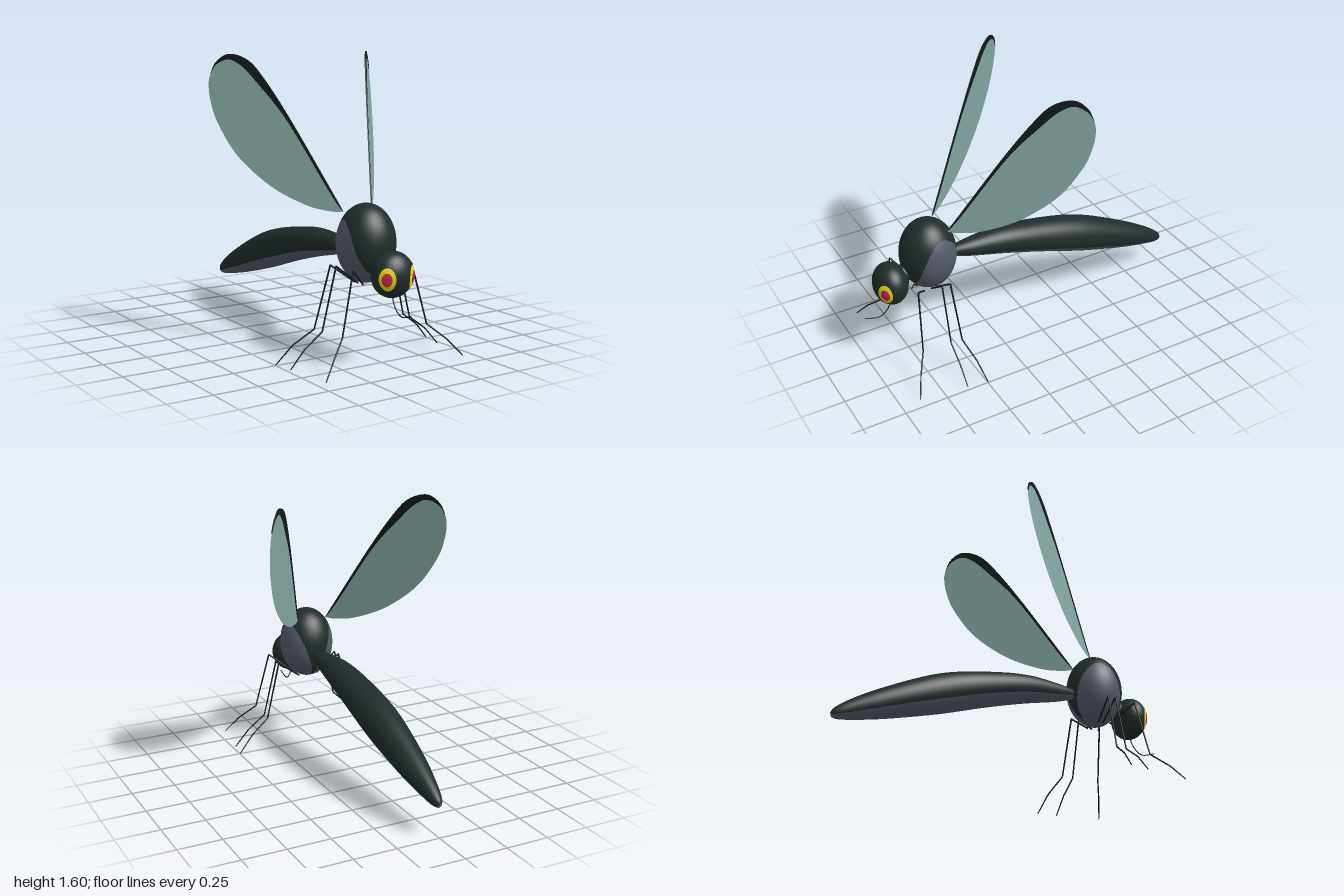
import * as THREE from 'three';
import { mergeVertices } from 'three/addons/utils/BufferGeometryUtils.js';

const mat = (name, color, side = THREE.FrontSide) => {
  const m = new THREE.MeshStandardMaterial({ color, side });
  m.name = name;
  return m;
};

export function createModel() {
  const model = new THREE.Group();
  model.name = 'insect';
  const dark = mat('dark shell', 0x1f2c2b);
  const grey = mat('grey underside', 0x555a69);
  const black = mat('black limbs', 0x141a1b);
  const glass = mat('wing membrane', 0x86aaa5, THREE.DoubleSide);
  const yellow = mat('yellow eye', 0xe8e010);
  const red = mat('red pupil', 0xd0234a);

  const add = (name, geo, material, parent = model) => {
    const mesh = new THREE.Mesh(geo, material);
    mesh.name = name;
    parent.add(mesh);
    return mesh;
  };
  const v = (x, y, z) => new THREE.Vector3(x, y, z);

  // Mirror across x = 0, keeping faces outward
  const mirror = (geo) => {
    const g = geo.index ? geo.clone() : mergeVertices(geo);
    g.scale(-1, 1, 1);
    const ix = g.index;
    for (let i = 0; i < ix.count; i += 3) {
      const a = ix.getX(i);
      ix.setX(i, ix.getX(i + 1));
      ix.setX(i + 1, a);
    }
    return g;
  };
  const pair = (name, geo, material) => {
    add(name + 'Left', geo, material);
    add(name + 'Right', mirror(geo), material);
  };

  // Thorax: one ellipsoid, with grey flanks and belly as a second group
  const thorax = new THREE.SphereGeometry(1, 128, 96);
  thorax.scale(0.16, 0.213, 0.162);
  thorax.translate(0, 0.617, 0.6);
  const isGrey = ({ x, y, z }) =>
    ((z - 0.56) / 0.15) ** 2 + ((y - 0.45) / 0.3) ** 2 < 1 &&
    (z > 0.6 || y < 0.42 + 2.8 * Math.abs(x));
  const sets = [[], []];
  for (let i = 0; i < thorax.index.count; i += 3) {
    const tri = [0, 1, 2].map((k) => thorax.index.getX(i + k));
    const centre = v(0, 0, 0);
    for (const t of tri) {
      centre.addScaledVector(v(0, 0, 0).fromBufferAttribute(thorax.attributes.position, t), 1 / 3);
    }
    sets[isGrey(centre) ? 1 : 0].push(...tri);
  }
  thorax.setIndex(sets[0].concat(sets[1]));
  thorax.addGroup(0, sets[0].length, 0);
  thorax.addGroup(sets[0].length, sets[1].length, 1);
  add('thorax', thorax, [dark, grey]);

  // Abdomen: oval cross-sections [z, top, bottom, half width], lofted as a back and a belly
  const sections = [
    [0.47, 0.6, 0.55, 0.025], [0.36, 0.615, 0.515, 0.052], [0.15, 0.627, 0.465, 0.083],
    [-0.07, 0.602, 0.403, 0.098], [-0.39, 0.53, 0.3, 0.105], [-0.715, 0.386, 0.212, 0.08],
    [-0.877, 0.297, 0.177, 0.053], [-0.96, 0.24, 0.165, 0.033], [-0.99, 0.212, 0.17, 0.017],
    [-1, 0.192, 0.188, 0.001],
  ];
  const topLine = new THREE.CatmullRomCurve3(sections.map((s) => v(s[3], s[1], s[0])));
  const lowLine = new THREE.CatmullRomCurve3(sections.map((s) => v(s[3], s[2], s[0])));
  const loft = (from, to, around) => {
    const rows = 72, pos = [], idx = [];
    for (let i = 0; i <= rows; i++) {
      const a = topLine.getPoint(i / rows), b = lowLine.getPoint(i / rows);
      for (let j = 0; j <= around; j++) {
        const t = from + ((to - from) * j) / around;
        pos.push(a.x * Math.cos(t), (a.y + b.y) / 2 + ((a.y - b.y) / 2) * Math.sin(t), a.z);
        if (i < rows && j < around) {
          const p = i * (around + 1) + j, q = p + around + 1;
          idx.push(p, q, p + 1, p + 1, q, q + 1);
        }
      }
    }
    const g = new THREE.BufferGeometry();
    g.setAttribute('position', new THREE.Float32BufferAttribute(pos, 3));
    g.setIndex(idx);
    g.computeVertexNormals();
    return g;
  };
  const seam = Math.PI / 6;
  add('abdomenBack', loft(-seam, Math.PI + seam, 32), dark);
  add('abdomenBelly', loft(Math.PI + seam, 2 * Math.PI - seam, 16), grey);

  // Head and neck
  const headCentre = v(0, 0.49, 0.835), headSize = v(0.12, 0.122, 0.097);
  const head = new THREE.SphereGeometry(1, 64, 48);
  head.scale(...headSize.toArray());
  head.translate(...headCentre.toArray());
  add('head', head, dark);
  const neck = new THREE.CylinderGeometry(0.05, 0.05, 0.12, 20);
  neck.rotateX(Math.PI / 2);
  neck.translate(0, 0.53, 0.74);
  add('neck', neck, dark);

  // Eyes: oval patches that follow the head surface
  const eyePatch = (halfWide, halfHigh, lift) => {
    const g = new THREE.RingGeometry(0, 1, 48, 8);
    const p = g.attributes.position;
    for (let i = 0; i < p.count; i++) {
      const az = 0.785 + halfWide * p.getX(i), el = -0.08 + halfHigh * p.getY(i);
      const d = v(Math.sin(az) * Math.cos(el), Math.sin(el), Math.cos(az) * Math.cos(el));
      d.multiply(headSize).multiplyScalar(lift).add(headCentre);
      p.setXYZ(i, d.x, d.y, d.z);
    }
    g.computeVertexNormals();
    return g;
  };
  pair('eye', eyePatch(0.42, 0.52, 1.012), yellow);
  pair('pupil', eyePatch(0.25, 0.29, 1.024), red);

  // Proboscis
  const snout = new THREE.CatmullRomCurve3([
    v(0, 0.4, 0.835), v(0, 0.35, 0.845), v(0, 0.305, 0.875), v(0, 0.283, 0.915), v(0, 0.303, 1),
  ]);
  add('proboscis', new THREE.TubeGeometry(snout, 32, 0.003, 8), black);

  // Legs: hip, knee, ankle, foot bend, toe
  const legs = {
    frontLeg: [v(0.06, 0.41, 0.66), v(0.188, 0.513, 0.752), v(0.272, 0.178, 0.78),
      v(0.365, 0.093, 0.842), v(0.44, 0.003, 0.885)],
    middleLeg: [v(0.06, 0.41, 0.615), v(0.2, 0.515, 0.614), v(0.285, 0.178, 0.614),
      v(0.392, 0.1, 0.614), v(0.48, 0.003, 0.614)],
    backLeg: [v(0.06, 0.41, 0.585), v(0.203, 0.513, 0.565), v(0.292, 0.178, 0.548),
      v(0.407, 0.1, 0.518), v(0.498, 0.003, 0.497)],
  };
  const radii = [0.005, 0.005, 0.0042, 0.004, 0.003];
  for (const side of [1, -1]) {
    for (const [name, joints] of Object.entries(legs)) {
      const leg = new THREE.Group();
      leg.name = name + (side > 0 ? 'Left' : 'Right');
      model.add(leg);
      const pts = joints.map((p) => v(p.x * side, p.y, p.z));
      ['thigh', 'shin', 'foot', 'toe'].forEach((part, i) => {
        const dir = pts[i + 1].clone().sub(pts[i]);
        const bone = new THREE.CylinderGeometry(radii[i + 1], radii[i], dir.length(), 8);
        const mesh = add(part, bone, black, leg);
        mesh.position.copy(pts[i]).addScaledVector(dir, 0.5);
        mesh.quaternion.setFromUnitVectors(v(0, 1, 0), dir.normalize());
        if (i) add('joint', new THREE.SphereGeometry(radii[i], 8, 6), black, leg).position.copy(pts[i]);
      });
    }
  }

  // Wings: outlines given as [z, y], then set into a slanted, slightly twisted plane
  const leading = [[0.52, 0.78], [0.464, 0.88], [0.25, 1.255], [0.115, 1.47], [0.035, 1.566],
    [-0.05, 1.598], [-0.105, 1.555], [-0.126, 1.49]];
  const trailing = [[-0.126, 1.49], [-0.13, 1.44], [-0.115, 1.35], [-0.072, 1.228], [0.035, 1.05],
    [0.196, 0.895], [0.357, 0.805], [0.465, 0.778], [0.52, 0.78]];
  const inner = [[-0.126, 1.49], [-0.103, 1.54], [-0.05, 1.568], [0.01, 1.535], [0.085, 1.45],
    [0.236, 1.25], [0.455, 0.877], [0.52, 0.78]];
  const outline = (...runs) => {
    const shape = new THREE.Shape();
    shape.moveTo(0.51 - runs[0][0][0], runs[0][0][1]);
    for (const run of runs) {
      shape.splineThru(run.slice(1).map(([z, y]) => new THREE.Vector2(0.51 - z, y)));
    }
    return shape;
  };
  const slant = (geo) => {
    const p = geo.attributes.position;
    for (let i = 0; i < p.count; i++) {
      const a = p.getX(i), y = p.getY(i), w = p.getZ(i);
      const twist = 0.2 * (0.78 * a - 0.63 * (y - 0.78));
      p.setXYZ(i, 0.1 + 0.66 * a + 0.83 * w + twist, y, 0.51 - a + 0.55 * w);
    }
    geo.computeVertexNormals();
    return geo;
  };
  pair('wing', slant(new THREE.ShapeGeometry(outline(leading, trailing), 10)), glass);
  const rim = new THREE.ExtrudeGeometry(outline(leading, inner), { depth: 0.007, bevelEnabled: false, curveSegments: 10 });
  rim.translate(0, 0, -0.0035);
  pair('wingEdge', slant(rim), black);

  return model;
}
